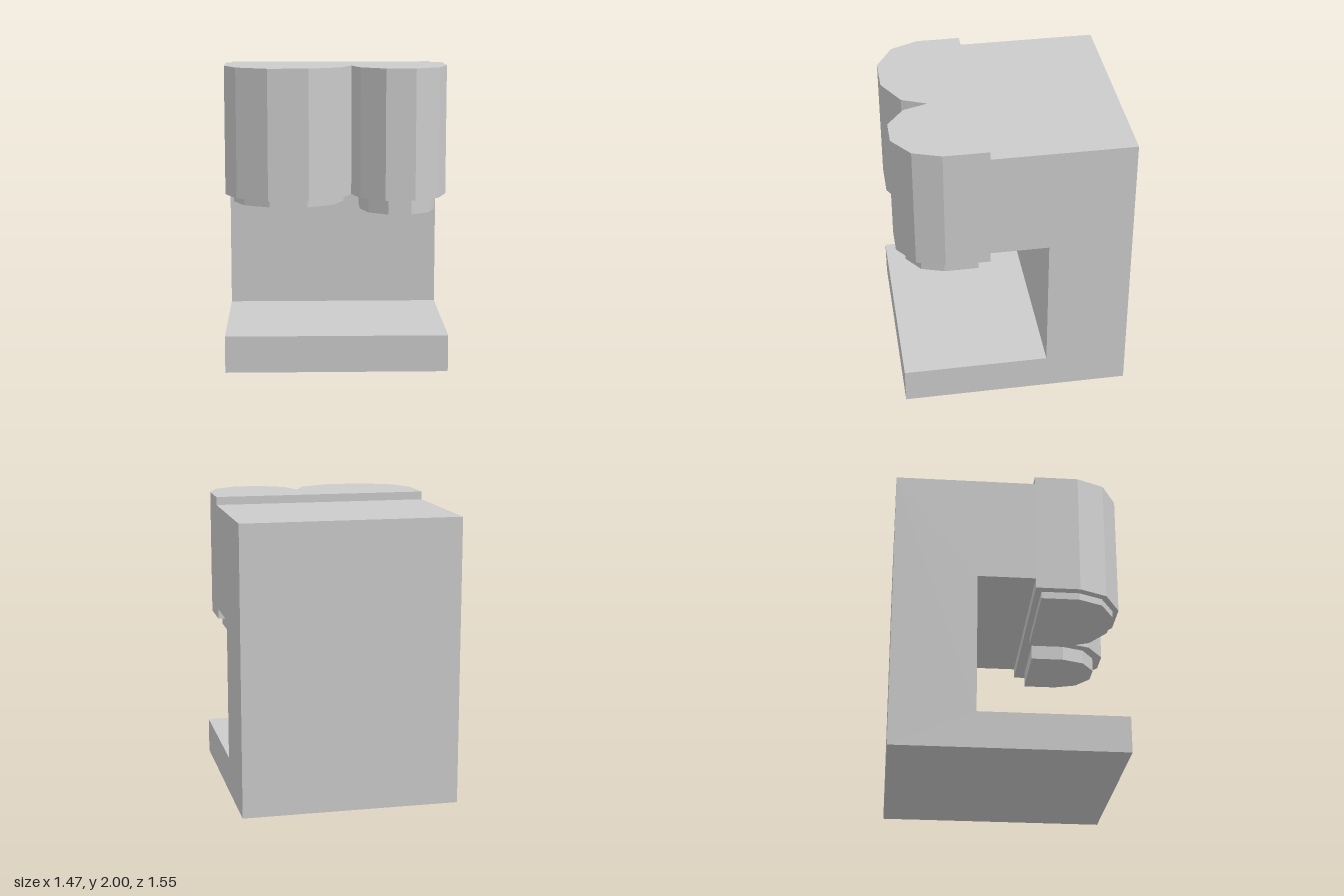
import * as THREE from 'three';

const material = new THREE.MeshStandardMaterial({ color: 0xcccccc, flatShading: true });
const W = 0.735; // half width

function extrude(points, depth) {
  const shape = new THREE.Shape(points.map(([a, b]) => new THREE.Vector2(a, b)));
  return new THREE.ExtrudeGeometry(shape, { depth, bevelEnabled: false });
}

// Upright prism from a plan outline of [x, z] corners
function prism(name, plan, bottom, top) {
  const geometry = extrude(plan.map(([x, z]) => [x, -z]), top - bottom);
  geometry.rotateX(-Math.PI / 2).translate(0, bottom, 0);
  const mesh = new THREE.Mesh(geometry, material);
  mesh.name = name;
  return mesh;
}

export function createModel() {
  const group = new THREE.Group();
  group.name = 'machine';

  // C-shaped frame: base plate, rear column and upper arm, as a [z, y] profile
  const profile = [
    [0.773, 0], [0.773, 0.245], [-0.215, 0.245], [-0.215, 1.213],
    [0.173, 1.213], [0.173, 1.945], [-0.773, 1.945], [-0.773, 0],
  ];
  const frameGeometry = extrude(profile, 2 * W);
  frameGeometry.rotateY(-Math.PI / 2).translate(W, 0, 0);
  const frame = new THREE.Mesh(frameGeometry, material);
  frame.name = 'frame';
  group.add(frame);

  // Twin-lobed head with a V notch between the faceted fronts
  group.add(prism('head', [
    [-W, 0.173], [-W, 0.47], [-0.652, 0.657], [-0.445, 0.773], [-0.18, 0.773],
    [0.032, 0.657], [0.104, 0.49], [0.158, 0.657], [0.316, 0.773],
    [0.51, 0.773], [0.67, 0.657], [W, 0.47], [W, 0.173],
  ], 1.145, 2));

  // Shallow outlet pad under the wide lobe
  group.add(prism('wideOutlet', [
    [-0.678, 0.215], [-0.678, 0.47], [-0.607, 0.632], [-0.435, 0.732],
    [-0.19, 0.732], [-0.018, 0.632], [0.053, 0.47], [0.053, 0.215],
  ], 1.097, 1.145));

  // Deeper outlet pad under the narrow lobe
  group.add(prism('narrowOutlet', [
    [0.163, 0.243], [0.163, 0.47], [0.213, 0.62], [0.338, 0.71],
    [0.49, 0.71], [0.613, 0.62], [0.662, 0.47], [0.662, 0.243],
  ], 1.043, 1.145));

  return group;
}
